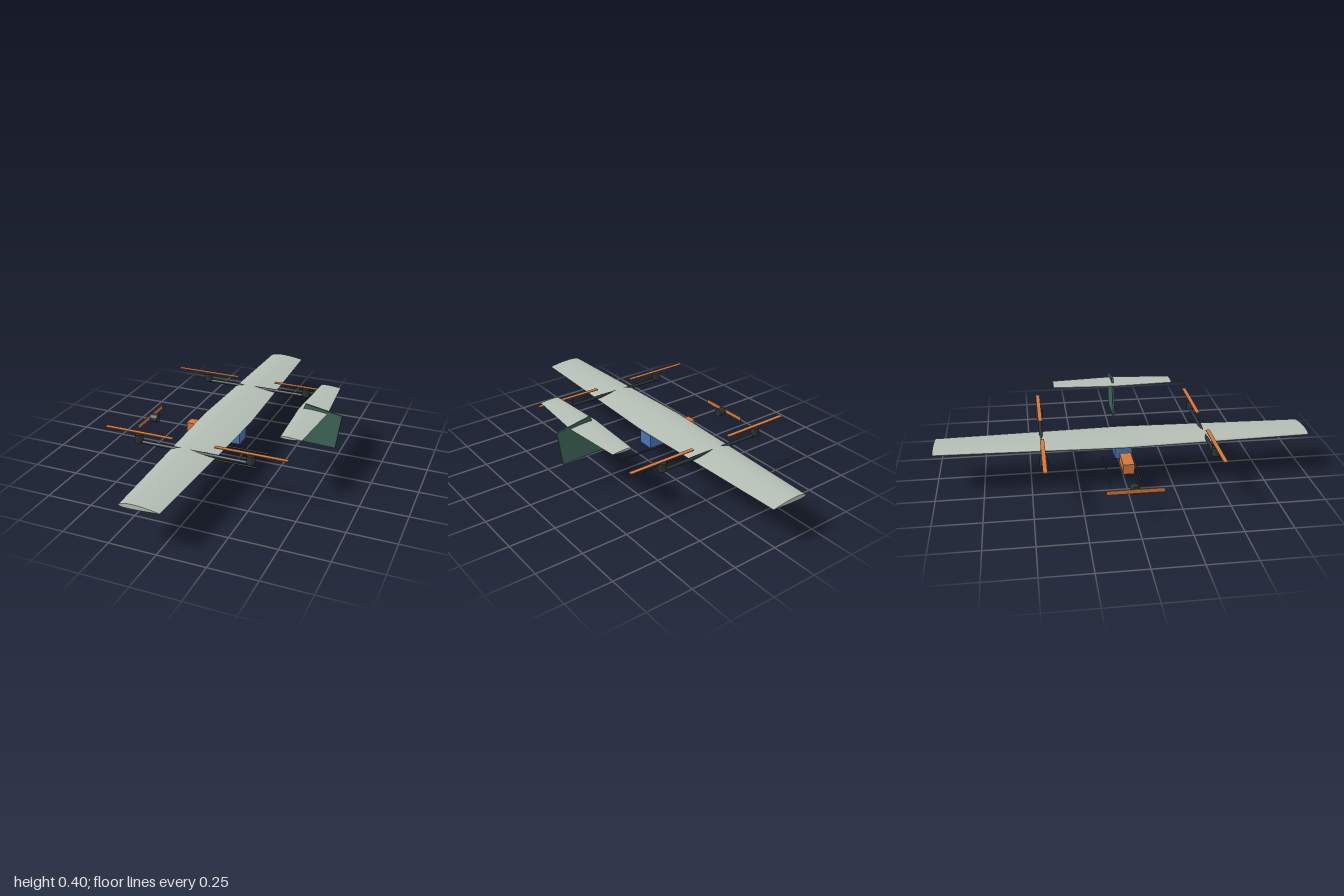
import * as THREE from 'three';

const mat = (color) => new THREE.MeshStandardMaterial({ color });
const skin = mat(0xb4beb4), dark = mat(0x2c3436), green = mat(0x3f6659);
const orange = mat(0xd2783a), blue = mat(0x4a74b6);

// Airfoil outline, counterclockwise from the trailing edge over the top and back below
function airfoil(camber, thick, n = 20) {
  const at = (u, side) => {
    const t = 5 * thick * (0.2969 * Math.sqrt(u) - 0.126 * u - 0.3516 * u * u + 0.2843 * u ** 3 - 0.1036 * u ** 4);
    const p = 0.4;
    const c = u < p ? camber / p ** 2 * (2 * p * u - u * u)
      : camber / (1 - p) ** 2 * (1 - 2 * p + 2 * p * u - u * u);
    return new THREE.Vector2(u, c + side * t);
  };
  const pts = [];
  for (let i = 0; i <= 2 * n; i++) {
    const u = (1 + Math.cos(Math.PI * i / n)) / 2;
    pts.push(at(u, i <= n ? 1 : -1));
  }
  return pts;
}

// Double-tapered surface lofted through tip, root and tip, with closed ends
function foilGeometry(profile, stations) {
  const pos = [], idx = [], n = profile.length;
  const ring = ([z, lead, chord]) => profile.forEach((p) => pos.push(lead + p.x * chord, p.y * chord, z));
  stations.forEach(ring);
  for (let s = 0; s < stations.length - 1; s++) {
    for (let i = 0; i < n - 1; i++) {
      const a = s * n + i, d = a + n;
      idx.push(a, a + 1, d + 1, a, d + 1, d);
    }
  }
  const faces = THREE.ShapeUtils.triangulateShape(profile.slice(0, -1), []);
  [stations[0], stations[stations.length - 1]].forEach((st, end) => {
    const base = pos.length / 3;
    ring(st);
    faces.forEach(([a, b, c]) => idx.push(base + a, base + (end ? b : c), base + (end ? c : b)));
  });
  const g = new THREE.BufferGeometry();
  g.setAttribute('position', new THREE.Float32BufferAttribute(pos, 3));
  g.setIndex(idx);
  g.computeVertexNormals();
  return g;
}

export function createModel() {
  const model = new THREE.Group();
  const add = (name, geometry, material, x, y, z) => {
    const m = new THREE.Mesh(geometry, material);
    m.name = name;
    m.position.set(x, y, z);
    model.add(m);
    return m;
  };
  const rodX = (r, length, sides = 20) => new THREE.CylinderGeometry(r, r, length, sides).rotateZ(Math.PI / 2);

  // Main wing and tailplane
  add('wing', foilGeometry(airfoil(0.02, 0.12),
    [[-1, -0.18, 0.21], [0, -0.215, 0.28], [1, -0.18, 0.21]]), skin, 0, 0.226, 0);
  add('tailplane', foilGeometry(airfoil(0, 0.12),
    [[-0.345, 0.354, 0.112], [0, 0.335, 0.16], [0.345, 0.354, 0.112]]), skin, 0, 0.359, 0);

  // Swept vertical fin
  const finShape = new THREE.Shape([[0.3, 0.178], [0.544, 0.168], [0.572, 0.358], [0.373, 0.395]]
    .map(([x, y]) => new THREE.Vector2(x, y)));
  add('fin', new THREE.ExtrudeGeometry(finShape, { depth: 0.01, bevelEnabled: false }), green, 0, 0, -0.005);

  // Mirrored lift booms, lift motors with rotors, and landing skids
  for (const side of [1, -1]) {
    const z = side * 0.437;
    add('boom', rodX(0.0095, 0.618), dark, -0.071, 0.2355, z);
    for (const x of [-0.38, 0.238]) {
      add('liftMotor', new THREE.CylinderGeometry(0.022, 0.022, 0.045, 24), dark, x, 0.2575, z);
      add('liftRotor', new THREE.BoxGeometry(0.385, 0.004, 0.022), orange, x, 0.288, z);
    }
    add('skid', rodX(0.005, 0.323, 16), dark, -0.0215, 0.005, side * 0.086);
  }

  // Nose motor and propeller
  add('noseMotor', rodX(0.0232, 0.043, 24), dark, -0.5255, 0.148, 0);
  add('nosePropeller', new THREE.BoxGeometry(0.004, 0.022, 0.29), orange, -0.554, 0.15, 0);

  // Internal boxes under the wing
  add('battery', new THREE.BoxGeometry(0.141, 0.054, 0.06), orange, -0.2375, 0.145, 0);
  add('payloadBox', new THREE.BoxGeometry(0.115, 0.075, 0.094), blue, -0.038, 0.1435, 0);

  return model;
}
